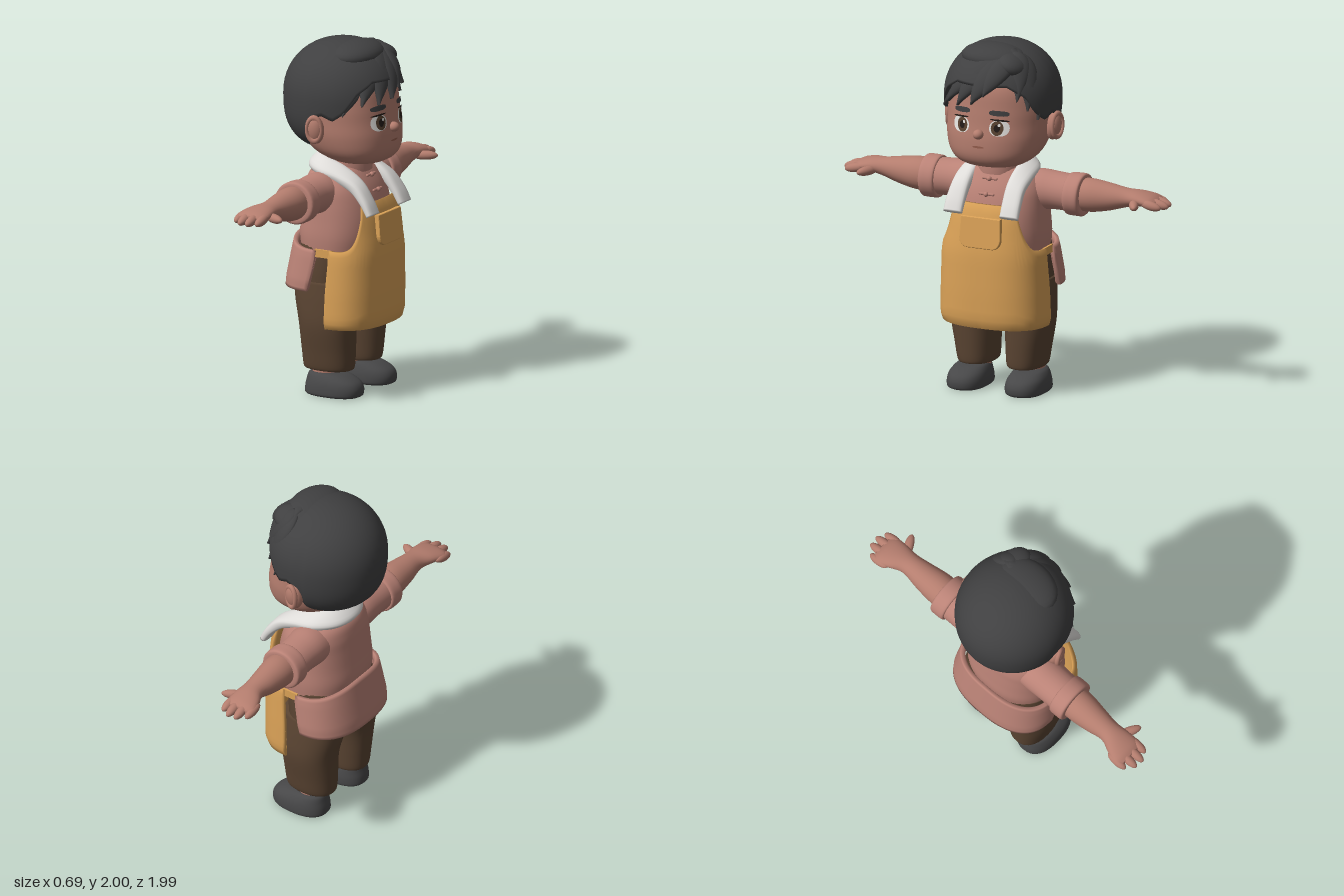
import * as THREE from 'three';

const V = (x, y, z) => new THREE.Vector3(x, y, z);
const mat = (name, color, side = THREE.FrontSide) =>
  Object.assign(new THREE.MeshStandardMaterial({ color, side }), { name });

// Smooth interpolation of a table of rows at t in 0..1
function sample(rows, t) {
  const f = t * (rows.length - 1), i = Math.min(Math.floor(f), rows.length - 2), k = f - i;
  const a = rows[Math.max(i - 1, 0)], b = rows[i], c = rows[i + 1], d = rows[Math.min(i + 2, rows.length - 1)];
  return b.map((p, j) => 0.5 * (2 * p + (c[j] - a[j]) * k + (2 * a[j] - 5 * p + 4 * c[j] - d[j]) * k * k
    + (3 * p - a[j] - 3 * c[j] + d[j]) * k * k * k));
}
// Linear lookup of a table by its first column
function lookup(rows, key) {
  let i = 0;
  while (i < rows.length - 2 && key > rows[i + 1][0]) i++;
  const k = THREE.MathUtils.clamp((key - rows[i][0]) / (rows[i + 1][0] - rows[i][0]), 0, 1);
  return rows[i].map((p, j) => p + (rows[i + 1][j] - p) * k);
}
const pw = (v, p) => Math.sign(v) * Math.abs(v) ** (2 / p);

// Closed cross-section: superellipse in the plane of u and v
function ring(c, u, v, n = 32, p = 2) {
  return Array.from({ length: n }, (_, i) => {
    const a = i / n * Math.PI * 2;
    return c.clone().addScaledVector(u, pw(Math.cos(a), p)).addScaledVector(v, pw(Math.sin(a), p));
  });
}
// Skin closed cross-sections, cap the ends, and face outward
function loft(sections) {
  const n = sections[0].length, m = sections.length, pts = sections.flat(), idx = [];
  for (let i = 0; i < m - 1; i++) for (let j = 0; j < n; j++) {
    const a = i * n + j, b = i * n + (j + 1) % n;
    idx.push(a, b, a + n, b, b + n, a + n);
  }
  for (const [s, flip] of [[0, true], [m - 1, false]]) {
    const c = V(0, 0, 0);
    sections[s].forEach(p => c.addScaledVector(p, 1 / n));
    pts.push(c);
    for (let j = 0; j < n; j++) {
      const a = s * n + j, b = s * n + (j + 1) % n;
      idx.push(...(flip ? [b, a] : [a, b]), pts.length - 1);
    }
  }
  let vol = 0;
  for (let i = 0; i < idx.length; i += 3)
    vol += pts[idx[i]].dot(pts[idx[i + 1]].clone().cross(pts[idx[i + 2]]));
  if (vol < 0) idx.reverse();
  const g = new THREE.BufferGeometry().setFromPoints(pts);
  g.setIndex(idx);
  g.computeVertexNormals();
  return g;
}
// Upright body: rows of [y, centre x, half width, back z, front z]
const upright = (rows, p = 2.3, steps = 28) => loft(Array.from({ length: steps + 1 }, (_, i) => {
  const [y, cx, rx, zb, zf] = sample(rows, i / steps);
  return ring(V(cx, y, (zb + zf) / 2), V(Math.max(rx, 0.002), 0, 0), V(0, 0, Math.max((zf - zb) / 2, 0.002)), 40, p);
}));
// Sideways limb: rows of [x, y, z, half height, half depth]
const limb = (rows, s, steps = 20) => loft(Array.from({ length: steps + 1 }, (_, i) => {
  const [x, y, z, ry, rz] = sample(rows, i / steps);
  return ring(V(s * x, y, z), V(0, ry, 0), V(0, 0, rz), 28);
}));
// Cloth wrapped round the body: rows of [y, half width, centre z, depth]
function wrap(rows, from, to, low, high, thick, steps = 64) {
  return loft(Array.from({ length: steps + 1 }, (_, i) => {
    const a = THREE.MathUtils.degToRad(from + (to - from) * i / steps), s = pw(Math.sin(a), 2.5), c = pw(Math.cos(a), 2.5);
    const y0 = low(s), y1 = high(s);
    const line = off => Array.from({ length: 15 }, (_, j) => {
      const y = y0 + (y1 - y0) * j / 14, [, rx, cz, rz] = lookup(rows, y);
      const round = j === 0 || j === 14 ? off * 0.6 : off;
      return V((rx + round) * s, y, cz + (rz + round) * c);
    });
    return [...line(0), ...line(-thick).reverse()];
  }));
}

export function createModel() {
  const skin = mat('skin', 0xb47d6e), shirt = mat('shirt', 0xba8276), apron = mat('apron', 0xdba257),
    brown = mat('trouser brown', 0x5a4432), dark = mat('hair black', 0x404041), shoeMat = mat('shoe grey', 0x474748),
    cloth = mat('towel white', 0xdddbd8), white = mat('eye white', 0xe6e4e0), lip = mat('lip', 0x98604f),
    pupil = mat('pupil black', 0x241c18);
  const body = new THREE.Group();
  body.name = 'figure';
  const add = (name, g, m, pos) => {
    const o = new THREE.Mesh(g, m);
    o.name = name;
    if (pos) o.position.set(...pos);
    body.add(o);
    return o;
  };
  const ball = (rx, ry, rz) => new THREE.SphereGeometry(1, 24, 16).scale(rx, ry, rz);

  // Head and neck
  const headRows = [[1.31, 0, 0.09, 0.06, 0.2], [1.335, 0, 0.19, -0.04, 0.275], [1.39, 0, 0.255, -0.15, 0.312],
    [1.48, 0, 0.286, -0.23, 0.317], [1.57, 0, 0.292, -0.27, 0.305], [1.66, 0, 0.29, -0.28, 0.295],
    [1.78, 0, 0.265, -0.27, 0.275], [1.88, 0, 0.19, -0.19, 0.2], [1.93, 0, 0.05, -0.05, 0.06]];
  add('head', upright(headRows, 2.2, 40), skin);
  add('neck', new THREE.CylinderGeometry(0.105, 0.115, 0.2, 32), skin, [0, 1.28, 0.03]);
  add('nose', ball(0.03, 0.028, 0.032), skin, [0, 1.525, 0.317]);

  // Thin plates that follow the face
  const faceZ = (x, y) => {
    const [, , rx, zb, zf] = lookup(headRows, y);
    return (zb + zf) / 2 + (zf - zb) / 2 * (1 - Math.abs(x / rx) ** 2.2) ** (1 / 2.2);
  };
  function plate(name, m, cx, cy, rx, ry, lift, tilt = 0, p = 2) {
    const g = new THREE.RingGeometry(0.001, 1, 32, 5), a = g.attributes.position;
    for (let i = 0; i < a.count; i++) {
      const r = Math.hypot(a.getX(i), a.getY(i)), q = Math.atan2(a.getY(i), a.getX(i));
      const u = pw(Math.cos(q), p) * r * rx, v = pw(Math.sin(q), p) * r * ry;
      const x = cx + u * Math.cos(tilt) - v * Math.sin(tilt), y = cy + u * Math.sin(tilt) + v * Math.cos(tilt);
      a.setXYZ(i, x, y, faceZ(x, y) + lift);
    }
    g.computeVertexNormals();
    add(name, g, m);
  }
  for (const s of [-1, 1]) {
    plate('eyeWhite', white, s * 0.116, 1.567, 0.054, 0.045, 0.006, 0, 2.3);
    plate('iris', brown, s * 0.106, 1.567, 0.034, 0.041, 0.008);
    plate('pupil', pupil, s * 0.106, 1.567, 0.017, 0.022, 0.0095);
    plate('eyeGlint', white, s * 0.106 + 0.012, 1.585, 0.008, 0.009, 0.011);
    plate('upperLash', pupil, s * 0.118, 1.612, 0.053, 0.005, 0.009, -s * 0.08);
    plate('eyebrow', dark, s * 0.112, 1.65, 0.054, 0.015, 0.008, -s * 0.06, 3);
    add('ear', ball(0.042, 0.083, 0.052), skin, [s * 0.31, 1.535, -0.005]).rotation.z = -s * 0.12;
    const rim = add('earRim', new THREE.TorusGeometry(0.055, 0.014, 10, 28).scale(0.75, 1.2, 1), skin, [s * 0.333, 1.54, 0.0]);
    rim.rotation.y = s * 1.25;
  }
  plate('mouth', lip, 0, 1.452, 0.036, 0.006, 0.006);

  // Hair cap with a lower edge that changes round the head
  const edge = [[0, 1.8], [30, 1.8], [48, 1.74], [62, 1.63], [72, 1.59], [82, 1.62], [92, 1.6], [101, 1.46],
    [115, 1.405], [140, 1.378], [180, 1.37]];
  const hairK = y => {
    const u = Math.min(Math.abs((y - 1.68) / 0.315), 1), p = u && y < 1.68 ? 2.7 : 2.1;
    return (1 - u ** p) ** (1 / p);
  };
  const cap = [];
  for (let r = 0; r <= 25; r++) cap.push(Array.from({ length: 96 }, (_, j) => {
    const deg = j / 96 * 360, a = THREE.MathUtils.degToRad(deg), e = lookup(edge, deg > 180 ? 360 - deg : deg)[1];
    const a0 = Math.asin((e - 1.68) / 0.315), t = Math.max(r - 1, 0) / 24;
    const y = 1.68 + 0.315 * Math.sin(a0 + (Math.PI / 2 - 0.02 - a0) * t), k = hairK(y) * (r === 0 ? 0.82 : 1);
    return V(0.326 * k * Math.sin(a), y + (r === 0 ? 0.012 : 0), 0.34 * k * Math.cos(a) - 0.004);
  }));
  add('hairCap', loft(cap), dark);

  // Locks swept over the front of the cap: points [x, y], width, thickness
  const onHair = ([x, y]) => {
    const k = Math.max(hairK(y), 0.05);
    return V(x, y, 0.34 * k * Math.sqrt(Math.max(1 - (x / (0.326 * k)) ** 2, 0.01)) - 0.01);
  };
  const locks = [
    [[0.13, 1.95], [-0.14, 1.9], [-0.285, 1.62], 0.085, 0.03], [[0.14, 1.95], [-0.08, 1.91], [-0.22, 1.675], 0.085, 0.035],
    [[0.14, 1.95], [-0.03, 1.9], [-0.135, 1.675], 0.08, 0.036], [[0.15, 1.95], [0.04, 1.87], [-0.04, 1.695], 0.075, 0.036],
    [[0.14, 1.94], [0.09, 1.87], [0.03, 1.745], 0.06, 0.032], [[0.12, 1.95], [0.2, 1.91], [0.205, 1.72], 0.065, 0.032],
    [[0.12, 1.95], [0.24, 1.88], [0.25, 1.66], 0.07, 0.03], [[0.13, 1.93], [0.285, 1.84], [0.285, 1.6], 0.07, 0.026]];
  for (const [a, b, c, w, th] of locks) {
    const path = new THREE.QuadraticBezierCurve3(onHair(a), onHair(b).multiplyScalar(1).add(V(0, 0.02, 0.03)), onHair(c));
    add('hairLock', loft(Array.from({ length: 19 }, (_, i) => {
      const t = i / 18, p = path.getPoint(t), q = p.clone().sub(V(0, 1.68, 0)).normalize();
      const side = path.getTangent(t).cross(q).normalize(), up = side.clone().cross(path.getTangent(t)).normalize();
      const f = t < 0.4 ? 0.45 + 0.55 * Math.sin(t / 0.4 * Math.PI / 2) : Math.max(1 - ((t - 0.4) / 0.6) ** 2, 0.04);
      return ring(p, side.multiplyScalar(w * f), up.multiplyScalar(th * (0.3 + 0.7 * f)), 16);
    })), dark);
  }
  add('hairQuiff', ball(0.19, 0.075, 0.14), dark, [-0.01, 1.92, 0.09]);
  add('hairCrown', ball(0.09, 0.06, 0.11), dark, [0.13, 1.9, 0.14]).rotation.z = -0.4;

  // Shirt body, collar, fastenings and back tail
  add('shirtBody', upright([[0.8, 0, 0.27, -0.21, 0.22], [0.9, 0, 0.278, -0.222, 0.24], [1.0, 0, 0.274, -0.212, 0.24],
    [1.1, 0, 0.268, -0.2, 0.222], [1.18, 0, 0.255, -0.19, 0.195], [1.25, 0, 0.21, -0.165, 0.155],
    [1.3, 0, 0.12, -0.09, 0.12]]), shirt);
  add('collar', new THREE.LatheGeometry([[0.125, 0], [0.128, 0.06], [0.122, 0.075], [0.112, 0.07], [0.11, 0]]
    .map(q => new THREE.Vector2(...q)), 36), shirt, [0, 1.255, 0.035]);
  for (const [y, z] of [[1.235, 0.17], [1.155, 0.212]]) {
    add('fastening', new THREE.CapsuleGeometry(0.008, 0.08, 4, 8).rotateZ(Math.PI / 2), shirt, [0, y, z]);
    add('button', ball(0.014, 0.014, 0.014), shirt, [0, y, z + 0.006]);
  }
  add('shirtTail', wrap([[0.6, 0.325, -0.055, 0.235], [0.66, 0.328, -0.04, 0.245], [0.8, 0.315, -0.01, 0.25],
    [0.9, 0.295, 0, 0.242]], 90, 270, () => 0.605, s => 0.89 - 0.05 * s * s, 0.03), shirt);

  // Sleeves, cuffs, forearms and hands
  for (const s of [-1, 1]) {
    add('sleeve', limb([[0.12, 1.14, -0.03, 0.11, 0.12], [0.22, 1.15, -0.035, 0.115, 0.12],
      [0.32, 1.152, -0.04, 0.106, 0.112], [0.45, 1.145, -0.04, 0.105, 0.11]], s), shirt);
    add('cuff', limb([[0.395, 1.145, -0.04, 0.1, 0.1], [0.4, 1.145, -0.04, 0.118, 0.122], [0.44, 1.145, -0.04, 0.121, 0.126],
      [0.482, 1.145, -0.04, 0.119, 0.123], [0.49, 1.145, -0.04, 0.1, 0.1]], s), shirt);
    add('forearm', limb([[0.44, 1.148, -0.04, 0.09, 0.09], [0.53, 1.15, -0.04, 0.094, 0.092], [0.64, 1.153, -0.043, 0.077, 0.078],
      [0.74, 1.16, -0.045, 0.054, 0.064], [0.82, 1.163, -0.06, 0.042, 0.083], [0.89, 1.153, -0.07, 0.034, 0.093],
      [0.925, 1.148, -0.07, 0.018, 0.07]], s, 28), skin);
    [[-0.142, 0.945], [-0.095, 0.985], [-0.045, 0.99], [0.003, 0.965]].forEach(([z, tip]) => {
      add('finger', ball(0.065, 0.026, 0.026), skin, [s * (tip - 0.06), 1.145, z]).rotation.z = -s * 0.2;
    });
    add('thumb', ball(0.027, 0.026, 0.075), skin, [s * 0.818, 1.143, 0.03]).rotation.y = s * 0.45;

    // Trouser legs, ankles and shoes
    add('trouserLeg', upright([[0.14, s * 0.15, 0.085, -0.14, 0.12], [0.15, s * 0.15, 0.105, -0.156, 0.138],
      [0.25, s * 0.156, 0.118, -0.163, 0.146], [0.4, s * 0.165, 0.134, -0.172, 0.152], [0.53, s * 0.153, 0.142, -0.2, 0.155],
      [0.65, s * 0.14, 0.142, -0.22, 0.155]]), brown);
    add('ankle', new THREE.CylinderGeometry(0.078, 0.078, 0.1, 28), skin, [s * 0.165, 0.13, -0.02]);
    add('shoe', upright([[0, s * 0.178, 0.1, -0.12, 0.195], [0.012, s * 0.178, 0.112, -0.13, 0.21], [0.05, s * 0.178, 0.112, -0.128, 0.212],
      [0.085, s * 0.178, 0.104, -0.12, 0.19], [0.115, s * 0.176, 0.088, -0.112, 0.13], [0.128, s * 0.174, 0.07, -0.1, 0.07]], 2.4), shoeMat);
  }
  add('trouserHips', upright([[0.5, 0, 0.2, -0.15, 0.12], [0.56, 0, 0.27, -0.2, 0.15], [0.68, 0, 0.282, -0.225, 0.16],
    [0.85, 0, 0.27, -0.21, 0.18]]), brown);

  // Apron with bib, waist ties and pocket
  const apronRows = [[0.4, 0.31, 0.055, 0.235], [0.44, 0.322, 0.055, 0.248], [0.6, 0.318, 0.06, 0.246], [0.8, 0.308, 0.075, 0.229],
    [0.86, 0.3, 0.07, 0.23], [0.95, 0.29, 0.055, 0.232], [1.03, 0.285, 0.05, 0.226], [1.11, 0.28, 0.05, 0.2]];
  const bib = s => {
    const x = Math.abs(s) * 0.3;
    return x < 0.2 ? 1.105 : 0.845 + 0.26 * (Math.max(0.3 - x, 0) / 0.1) ** 2;
  };
  add('apron', wrap(apronRows, -90, 90, () => 0.4, bib, 0.022, 120), apron);
  for (const s of [-1, 1])
    add('apronTie', new THREE.BoxGeometry(0.012, 0.045, 0.11), apron, [s * 0.294, 0.825, 0.04]);
  const pocket = new THREE.Shape();
  pocket.moveTo(-0.115, 0.165).lineTo(0.115, 0.165).lineTo(0.12, 0.05).quadraticCurveTo(0.115, 0, 0.07, 0)
    .lineTo(-0.07, 0).quadraticCurveTo(-0.115, 0, -0.12, 0.05).lineTo(-0.115, 0.165);
  const bevel = { depth: 0.018, bevelSize: 0.006, bevelThickness: 0.006, bevelSegments: 3, curveSegments: 10 };
  add('pocket', new THREE.ExtrudeGeometry(pocket, bevel), apron, [0, 0.868, 0.285]).rotation.x = -0.1;

  // Towel draped round the neck: [x, y, z, width x, y, z, thickness]
  const half = [[0.172, 1.05, 0.285, 0.056, 0, 0, 0.022], [0.17, 1.12, 0.245, 0.056, 0, 0, 0.027],
    [0.165, 1.2, 0.175, 0.055, -0.01, 0, 0.033], [0.162, 1.255, 0.07, 0.055, -0.025, 0, 0.034],
    [0.15, 1.285, -0.04, 0.05, -0.035, -0.012, 0.034], [0.09, 1.3, -0.115, 0.028, -0.04, -0.036, 0.032]];
  const flip = half.map(([x, y, z, a, b, c, t]) => [-x, y, z, -a, b, c, t]).reverse();
  // Width vectors point outward on both sides so the band never twists
  const drape = [...half, [0, 1.305, -0.14, 0, -0.04, -0.045, 0.032], ...flip];
  add('towel', loft(Array.from({ length: 73 }, (_, i) => {
    const t = i / 72, [x, y, z, a, b, c, th] = sample(drape, t);
    const p = sample(drape, Math.max(t - 0.01, 0)), q = sample(drape, Math.min(t + 0.01, 1));
    const along = V(q[0] - p[0], q[1] - p[1], q[2] - p[2]).normalize(), w = V(a, b, c);
    return ring(V(x, y, z), w, along.cross(w).normalize().multiplyScalar(th), 20, 2.8);
  })), cloth);

  // Turn the figure to face along x
  body.rotation.y = Math.PI / 2;
  const model = new THREE.Group();
  model.name = 'model';
  model.add(body);
  return model;
}
